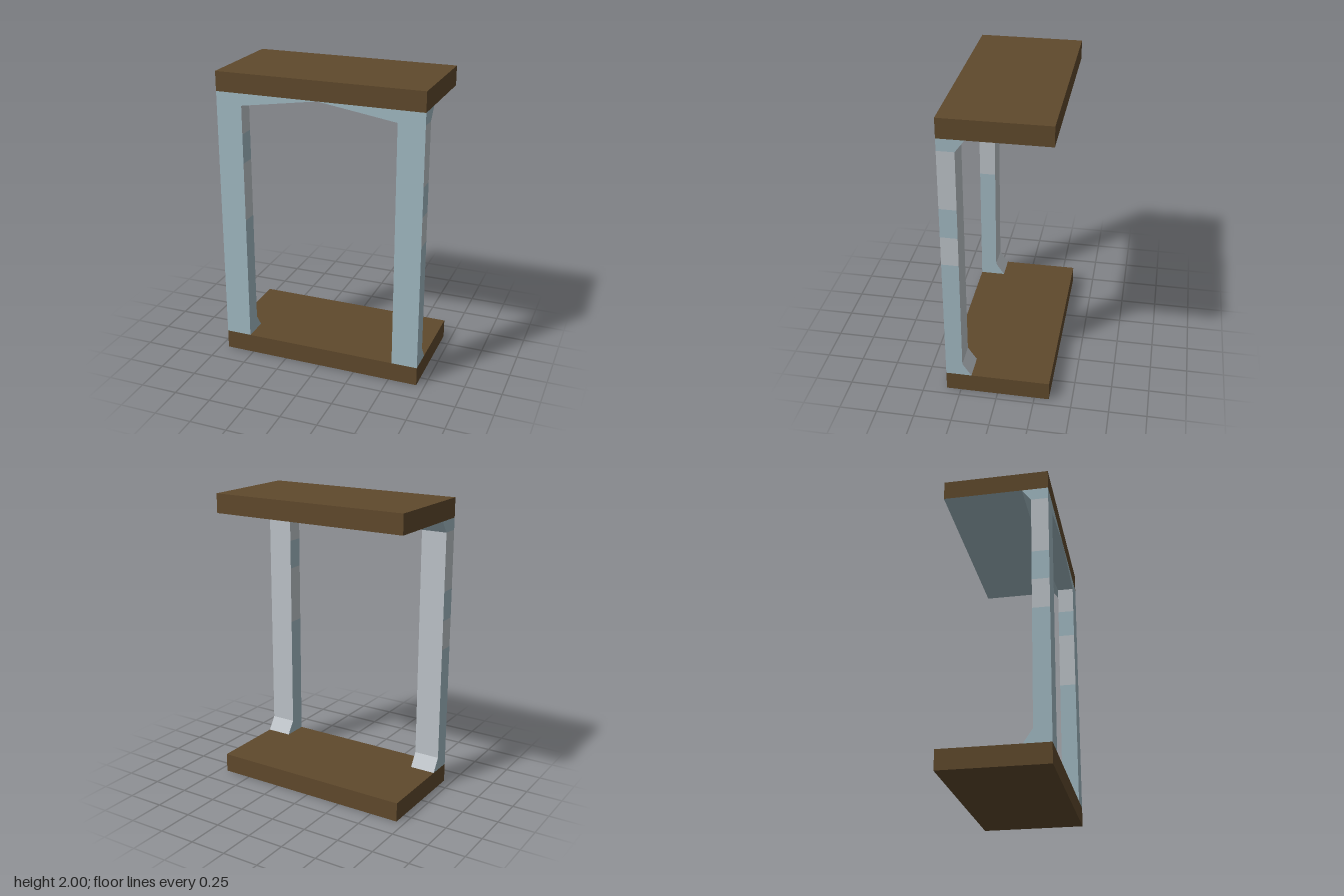
import * as THREE from 'three';

const brown = new THREE.MeshStandardMaterial({ color: 0x5f492c });
const blue = new THREE.MeshStandardMaterial({ color: 0xa1b9c2 });
const grey = new THREE.MeshStandardMaterial({ color: 0xbdc3c8 });
brown.name = 'brownWood';
blue.name = 'blueGreyPaint';
grey.name = 'paleGreyPaint';

// Main dimensions
const X0 = 0.52, X1 = 0.695;               // inner and outer sides of a post
const ZF = 0.347, ZB = 0.235, ZT = 0.175;  // front, back, and tip of the flares
const Y0 = 0.13, YA = 0.22, YB = 1.79, Y1 = 1.87;

// Flat convex or fan-shaped face; mirrored faces get their corner order reversed
function face(name, material, corners, side) {
  const pts = corners.map(([x, y, z]) => [x * side, y, z]);
  const index = [];
  for (let i = 1; i < pts.length - 1; i++) {
    index.push(...(side > 0 ? [0, i, i + 1] : [0, i + 1, i]));
  }
  const g = new THREE.BufferGeometry();
  g.setAttribute('position', new THREE.Float32BufferAttribute(pts.flat(), 3));
  g.setIndex(index);
  g.computeVertexNormals();
  const mesh = new THREE.Mesh(g, material);
  mesh.name = name;
  return mesh;
}

// Slab with its own material on the underside
function slab(name, y, under) {
  const mesh = new THREE.Mesh(
    new THREE.BoxGeometry(X1 * 2, Y0, ZF * 2),
    [brown, brown, brown, under, brown, brown]
  );
  mesh.position.y = y;
  mesh.name = name;
  return mesh;
}

// One post with its half of the peaked top beam
function post(side) {
  const group = new THREE.Group();
  group.name = side > 0 ? 'leftPost' : 'rightPost';
  const add = (name, mat, corners) => group.add(face(name, mat, corners, side));

  // Side wall piece, given as front and back edges, on the outer or inner side
  const wall = (name, mat, x, ya, yb, za = ZB, zb = ZB) => {
    const c = [[x, ya, ZF], [x, ya, za], [x, yb, zb], [x, yb, ZF]];
    add(name, mat, x === X1 ? c : c.reverse());
  };

  // Front, including half of the beam
  add('postFront', blue, [[X0, YB, ZF], [X0, Y0, ZF], [X1, Y0, ZF], [X1, Y1, ZF], [0, Y1, ZF]]);

  // Colour bands on the outer and inner sides
  const outer = [[YA, 1.0, blue], [1.0, 1.2, grey], [1.2, 1.4, blue], [1.4, YB, grey]];
  const inner = [[YA, 1.0, blue], [1.0, 1.4, grey], [1.4, 1.6, blue], [1.6, YB, grey]];
  for (const [a, b, m] of outer) wall('outerBand', m, X1, a, b);
  for (const [a, b, m] of inner) wall('innerBand', m, X0, a, b);

  // Flared foot and head
  wall('footOuterSide', blue, X1, Y0, YA, ZT, ZB);
  wall('footInnerSide', blue, X0, Y0, YA, ZT, ZB);
  wall('headOuterSide', blue, X1, YB, Y1, ZB, ZT);
  add('footSlope', grey, [[X1, Y0, ZT], [X0, Y0, ZT], [X0, YA, ZB], [X1, YA, ZB]]);
  add('headSlope', blue, [[X1, YB, ZB], [X0, YB, ZB], [0, Y1, ZT], [X1, Y1, ZT]]);

  // Back and beam underside
  add('postBack', grey, [[X1, YA, ZB], [X0, YA, ZB], [X0, YB, ZB], [X1, YB, ZB]]);
  add('beamUnderside', blue, [[X0, YB, ZF], [0, Y1, ZF], [0, Y1, ZT], [X0, YB, ZB]]);
  return group;
}

export function createModel() {
  const model = new THREE.Group();
  model.name = 'frame';
  model.add(slab('baseSlab', Y0 / 2, brown), slab('topSlab', 2 - Y0 / 2, blue));
  for (const side of [1, -1]) model.add(post(side));
  return model;
}
